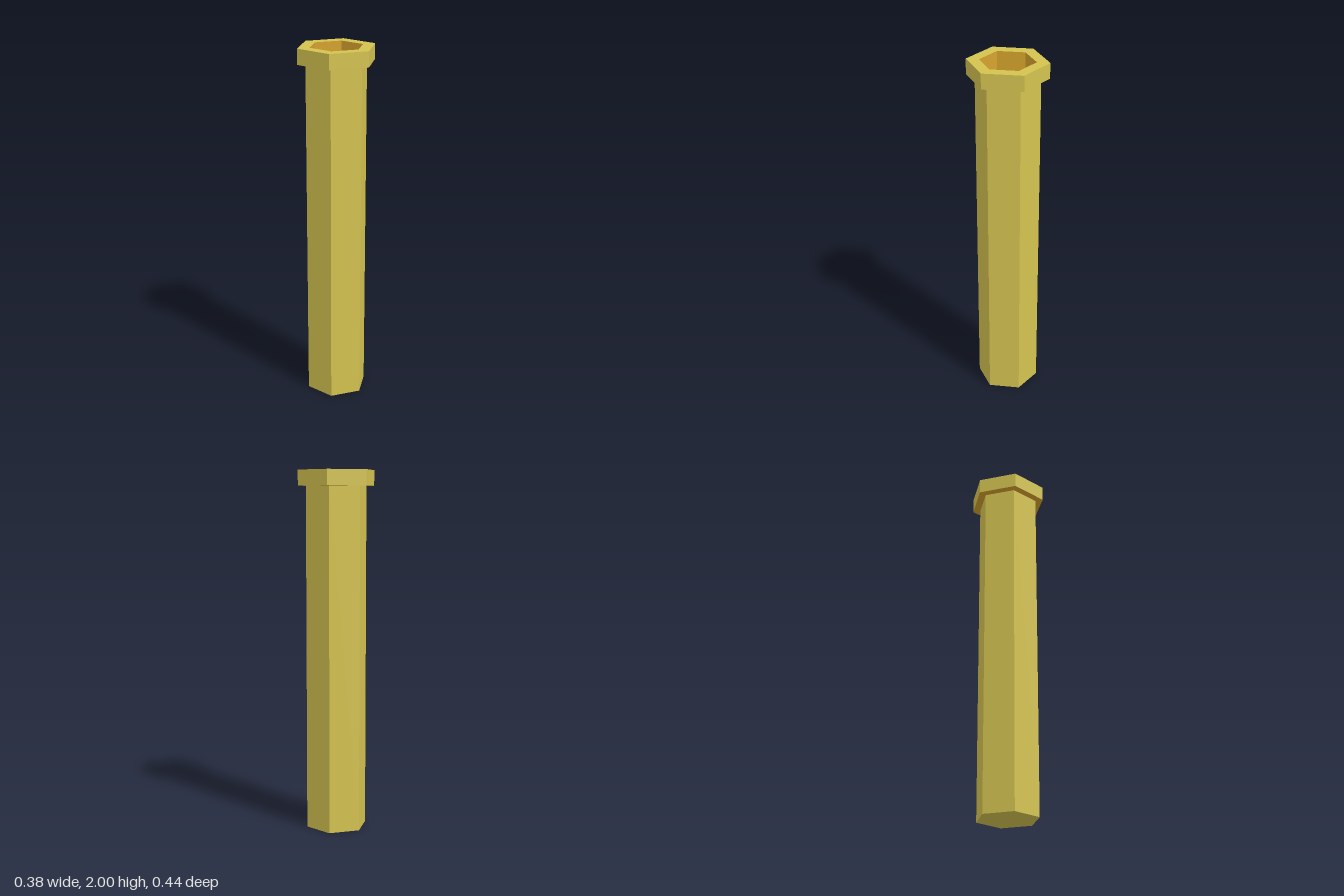
import * as THREE from 'three';

const SHAFT = 0.173, COLLAR = 0.218, BORE = 0.149;
const COLLAR_Y = 1.915, TOP = 2, FLOOR = 0.03;

export function createModel() {
  const model = new THREE.Group();
  model.name = 'hexagonalTube';

  const yellow = new THREE.MeshStandardMaterial({ color: 0xd4c350 });
  yellow.name = 'yellow';
  const orange = new THREE.MeshStandardMaterial({ color: 0xd6a32e });
  orange.name = 'orange';

  // Six-sided ring surface from a [radius, height] profile, with flat faces
  function addHex(name, profile, material) {
    const points = profile.map(([r, y]) => new THREE.Vector2(r, y));
    const geometry = new THREE.LatheGeometry(points, 6).toNonIndexed();
    geometry.computeVertexNormals();
    const mesh = new THREE.Mesh(geometry, material);
    mesh.name = name;
    model.add(mesh);
  }

  // Closed base and long outer walls
  addHex('shaft', [[0, 0], [SHAFT, 0], [SHAFT, COLLAR_Y]], yellow);
  // Ledge below the collar
  addHex('collarUnderside', [[SHAFT, COLLAR_Y], [COLLAR, COLLAR_Y]], orange);
  // Collar sides and flat rim
  addHex('collar', [[COLLAR, COLLAR_Y], [COLLAR, TOP], [BORE, TOP]], yellow);
  // Hollow inside with its floor
  addHex('bore', [[BORE, TOP], [BORE, FLOOR], [0, FLOOR]], orange);

  return model;
}
